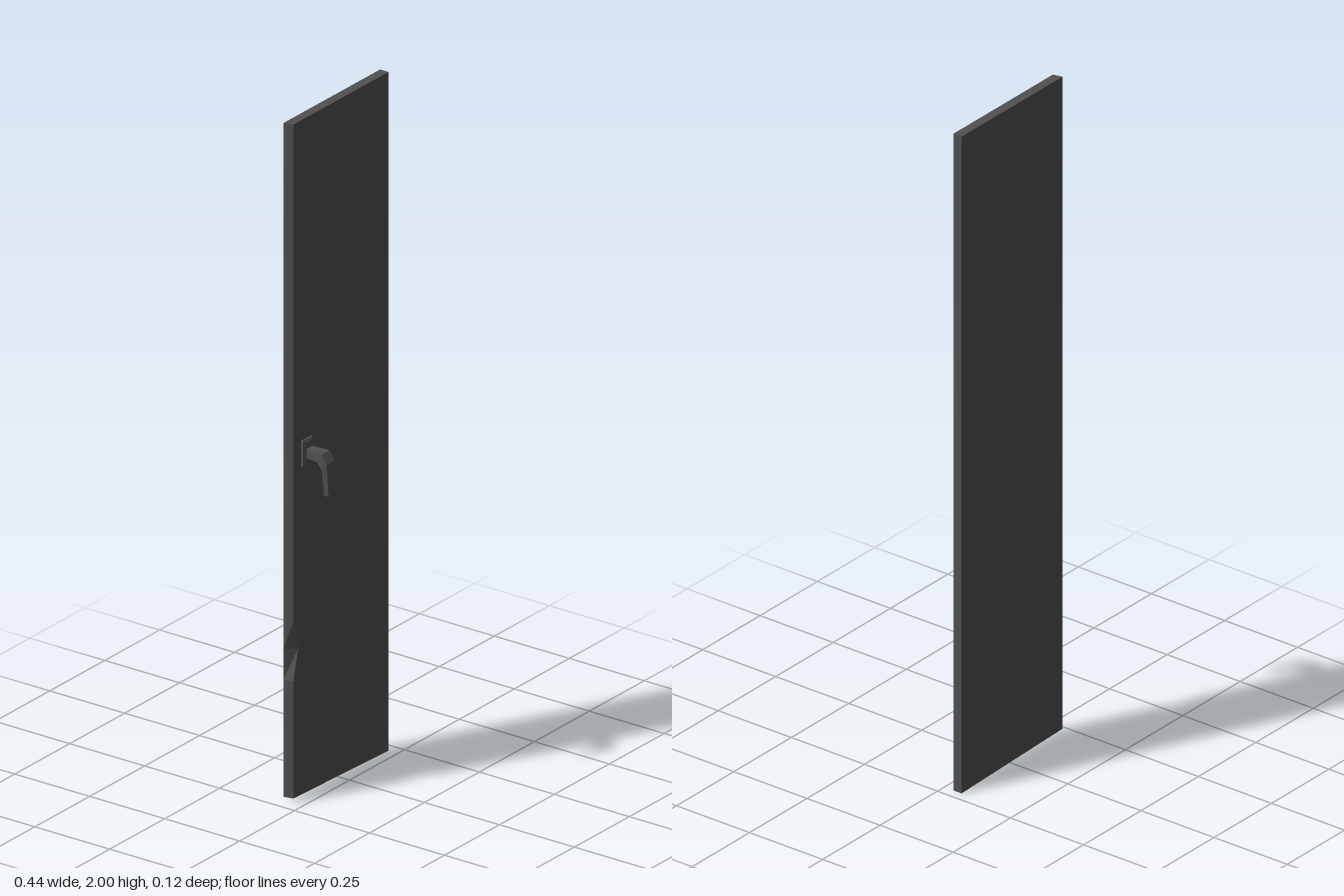
import * as THREE from 'three';

// Joins rings of four corners [x, y, z] into a closed, flat-faced solid.
function loft(rings) {
  const pos = [];
  const quad = (a, b, c, d) => pos.push(...a, ...b, ...c, ...a, ...c, ...d);
  for (let i = 0; i < rings.length - 1; i++) {
    const r = rings[i], s = rings[i + 1];
    for (let j = 0; j < 4; j++) {
      const k = (j + 1) % 4;
      quad(r[j], r[k], s[k], s[j]);
    }
  }
  const first = rings[0], last = rings[rings.length - 1];
  quad(first[3], first[2], first[1], first[0]);
  quad(last[0], last[1], last[2], last[3]);
  const geometry = new THREE.BufferGeometry();
  geometry.setAttribute('position', new THREE.Float32BufferAttribute(pos, 3));
  geometry.computeVertexNormals();
  return geometry;
}

export function createModel() {
  const model = new THREE.Group();
  const darkGrey = new THREE.MeshStandardMaterial({ color: 0x505050 });
  const add = (name, geometry, parent) => {
    const mesh = new THREE.Mesh(geometry, darkGrey);
    mesh.name = name;
    parent.add(mesh);
  };

  // Door panel: slanted latch edge with a dent in its front corner, sloping foot
  const back = -0.059, front = -0.031, right = 0.22;
  const levels = [ // latch-side y, hinge-side y, front corner x
    [0.016, 0.002, -0.213], [0.36, 0.36, -0.213], [0.45, 0.45, -0.192],
    [0.54, 0.54, -0.213], [2, 2, -0.213],
  ];
  add('doorPanel', loft(levels.map(([yl, yr, x]) => [
    [x, yl, front], [right, yr, front], [right, yr, back], [-0.22, yl, back],
  ])), model);

  // Handle, centred on its own x axis
  const handle = new THREE.Group();
  handle.name = 'handle';
  handle.position.x = -0.161;
  model.add(handle);

  // Mounting plate with bevelled rims
  const plate = [ // z, half width, half height
    [-0.031, 0.018, 0.034], [-0.027, 0.022, 0.038],
    [-0.021, 0.022, 0.038], [-0.016, 0.015, 0.031],
  ];
  add('mountingPlate', loft(plate.map(([z, w, h]) => [
    [-w, 1.022 - h, z], [w, 1.022 - h, z], [w, 1.022 + h, z], [-w, 1.022 + h, z],
  ])), handle);

  // Lever: flared neck that bends down into a tapering grip
  const lever = [ // outer z, y, inner z, y, half width
    [-0.018, 1.035, -0.018, 1.008, 0.013],
    [0.038, 1.035, 0.022, 1.008, 0.0185],
    [0.056, 1.01, 0.038, 0.99, 0.0185],
    [0.056, 0.912, 0.041, 0.912, 0.011],
  ];
  add('lever', loft(lever.map(([zo, yo, zi, yi, w]) => [
    [-w, yi, zi], [w, yi, zi], [w, yo, zo], [-w, yo, zo],
  ])), handle);

  return model;
}
